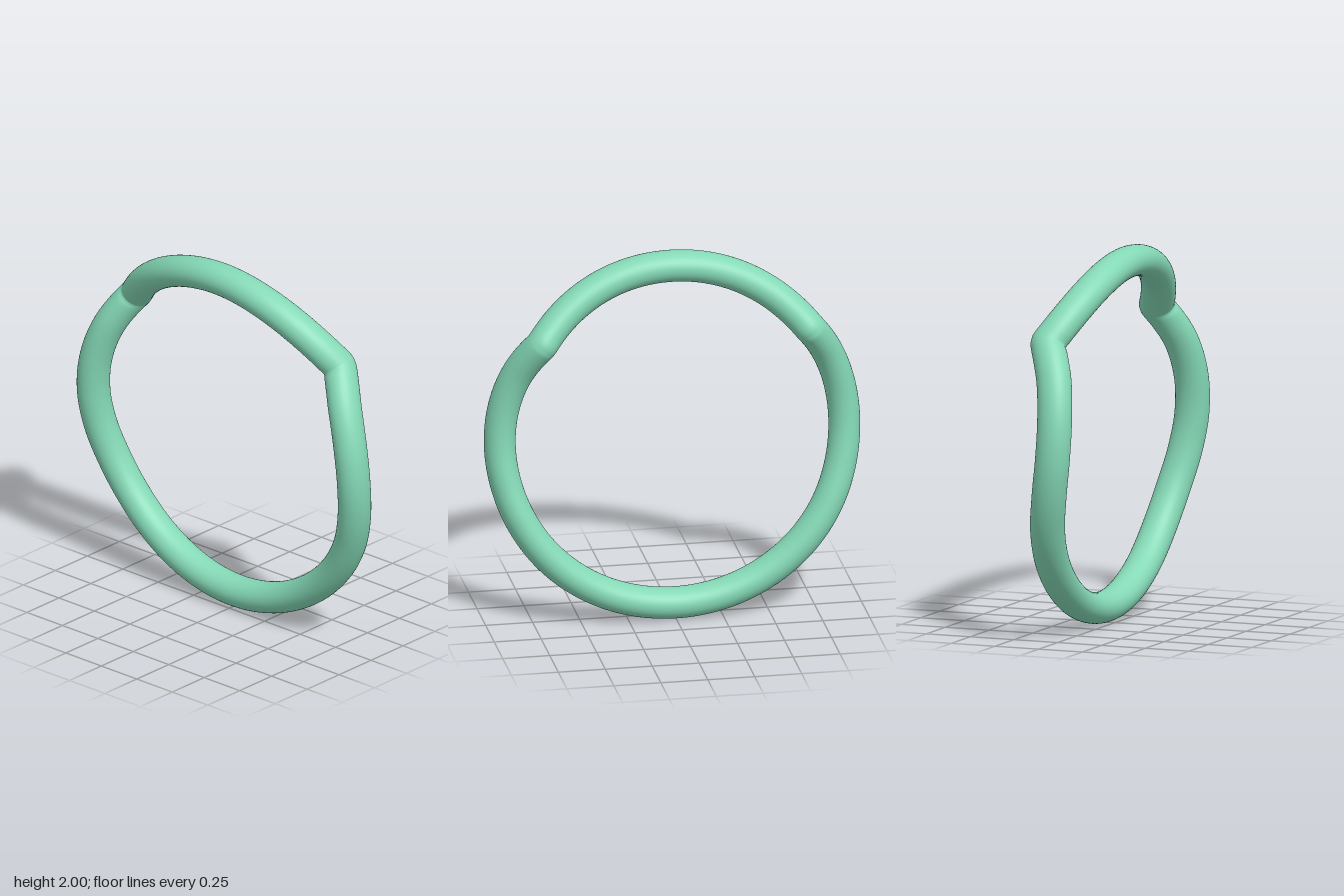
import * as THREE from 'three';

const RING = 0.917, TUBE_RADIAL = 0.083, TUBE_DEPTH = 0.0925;
const KINK = THREE.MathUtils.degToRad(51), SIDES = 40;

// Half of the ring's wavy path as [angle from top, z offset]
function halfPath() {
  const path = [];
  // Upper arc: bows forward, falls back to the kink
  for (let i = 0; i < 40; i++) {
    const t = i / 40;
    path.push([t * KINK, 0.077 - 0.15 * t ** 2.4]);
  }
  // Lower arc: forward at the sides, back at the bottom
  const knots = [[51, -0.073], [64, 0.01], [77, 0.045], [90, 0.043], [103, 0.013],
    [116, -0.025], [131, -0.05], [151, -0.058], [180, -0.058]];
  const curve = new THREE.SplineCurve(knots.map(([a, z]) =>
    new THREE.Vector2(THREE.MathUtils.degToRad(a), z)));
  for (const p of curve.getPoints(104)) path.push([p.x, p.y]);
  return path;
}

// Slightly rounds the kink by averaging neighbouring offsets
function soften(path) {
  return path.map(([a, z], i) => {
    const before = path[Math.max(i - 1, 0)][1];
    const after = path[Math.min(i + 1, path.length - 1)][1];
    return [a, (before + 2 * z + after) / 4];
  });
}

// Elliptical tube swept round the ring, thickened in depth where the path slopes
function ringGeometry() {
  const half = soften(soften(halfPath()));
  const rows = half.map(([a, z], i) => {
    const [b, w] = half[Math.max(i - 1, 0)];
    const slope = i ? (z - w) / ((a - b) * RING) : 0;
    return { a, z, depth: TUBE_DEPTH * Math.hypot(1, slope) };
  });
  const mirrored = rows.slice(1, -1).reverse().map((r) => ({ ...r, a: -r.a }));
  const loop = [...rows, ...mirrored];

  const positions = [], index = [];
  loop.forEach(({ a, z, depth }, i) => {
    const next = (i + 1) % loop.length;
    for (let j = 0; j < SIDES; j++) {
      const v = (j / SIDES) * Math.PI * 2;
      const r = RING + TUBE_RADIAL * Math.cos(v);
      positions.push(r * Math.sin(a), 1 + r * Math.cos(a), z + depth * Math.sin(v));
      const k = (j + 1) % SIDES;
      const p = i * SIDES + j, q = next * SIDES + j;
      const s = next * SIDES + k, t = i * SIDES + k;
      index.push(p, t, q, q, t, s);
    }
  });
  const geometry = new THREE.BufferGeometry();
  geometry.setAttribute('position', new THREE.Float32BufferAttribute(positions, 3));
  geometry.setIndex(index);
  geometry.computeVertexNormals();
  return geometry;
}

export function createModel() {
  const group = new THREE.Group();
  group.name = 'wavyRing';
  const ring = new THREE.Mesh(ringGeometry(),
    new THREE.MeshStandardMaterial({ color: 0x84d8b6 }));
  ring.name = 'ring';
  group.add(ring);
  return group;
}
